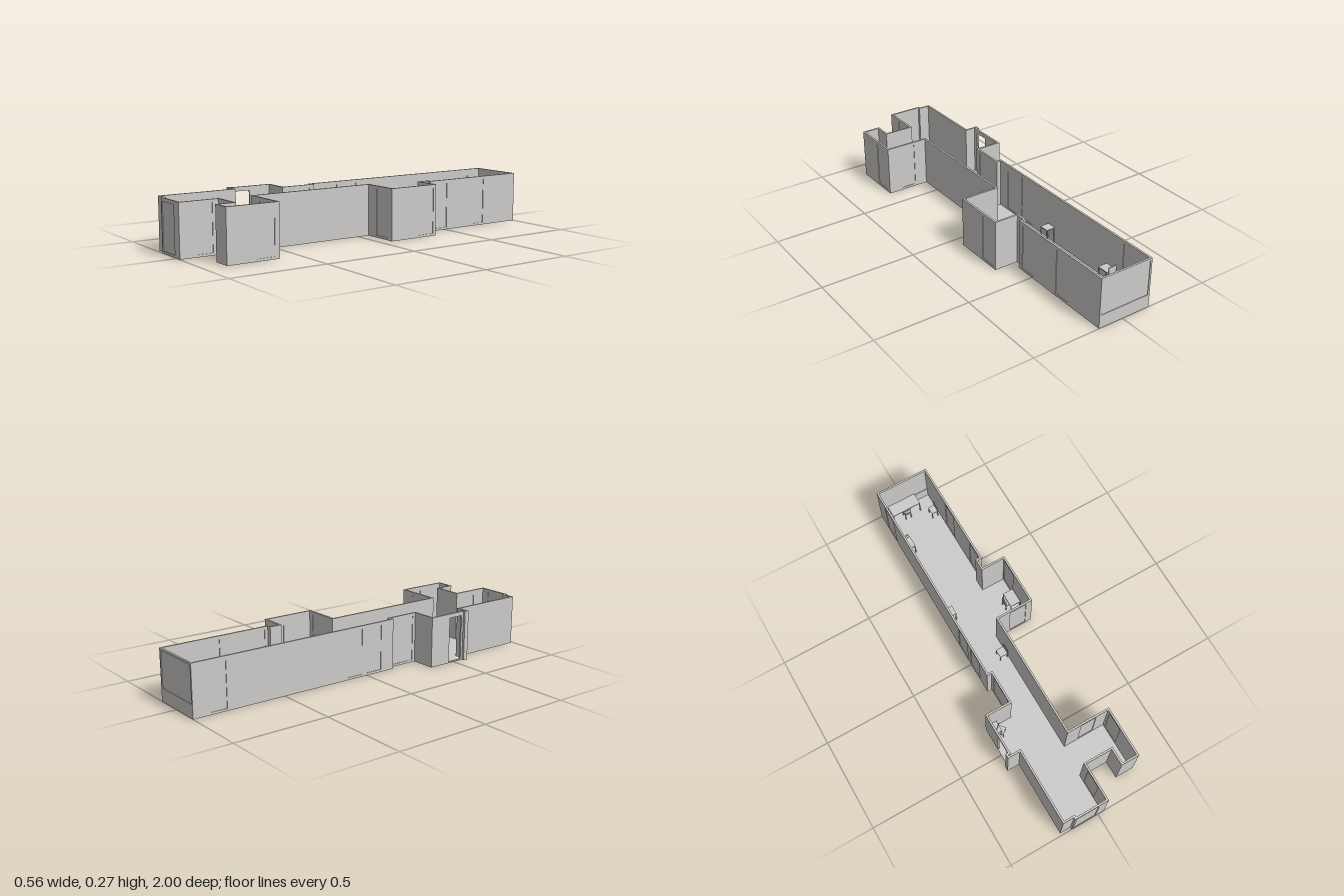
import * as THREE from 'three';

const H = 0.267, T = 0.01, FLOOR = 0.003;

// Floor plan corners [x, z], clockwise seen from above
const plan = [
  [-0.157, -1], [0.138, -1], [0.138, -0.395], [0.115, -0.395], [0.115, -0.347], [0.243, -0.347],
  [0.243, -0.063], [0.045, -0.063], [0.045, 0.612], [0.277, 0.612], [0.277, 0.888], [0.177, 0.888],
  [0.177, 0.797], [0.034, 0.797], [0.034, 1], [-0.153, 1], [-0.153, 0.987], [-0.212, 0.987],
  [-0.212, 0.585], [-0.278, 0.585], [-0.278, 0.56], [-0.265, 0.56], [-0.265, 0.342], [-0.132, 0.342],
  [-0.132, 0.172], [-0.157, 0.172],
];

// Openings by wall number: [from, to, sill, head, open] along the wall's own axis
const openings = {
  0: [[-0.147, 0.128, 0.07, 0.257]],
  1: [[-0.77, -0.683], [-0.51, -0.422]],
  5: [[-0.33, -0.238]],
  6: [[0.114, 0.207]],
  8: [[0.115, 0.2]],
  9: [[0.638, 0.733]],
  13: [[0.828, 0.918]],
  14: [[-0.148, -0.018]],
  21: [[0.465, 0.548, 0.006, 0.245, true]],
  23: [[0.19, 0.325]],
  25: [[-0.91, -0.82], [-0.12, -0.03], [0.003, 0.093]],
};

export function createModel() {
  const grey = new THREE.MeshStandardMaterial({ color: 0xcccbc9 });
  grey.name = 'pale grey';
  const model = new THREE.Group();
  model.name = 'floorPlan';

  const group = (name, parent = model) => {
    const g = new THREE.Group();
    g.name = name;
    parent.add(g);
    return g;
  };
  const box = (parent, name, w, h, d, x, y, z) => {
    const m = new THREE.Mesh(new THREE.BoxGeometry(w, h, d), grey);
    m.name = name;
    m.position.set(x, y, z);
    parent.add(m);
    return m;
  };
  const rect = (shape, x0, y0, x1, y1) => {
    shape.moveTo(x0, y0);
    shape.lineTo(x1, y0);
    shape.lineTo(x1, y1);
    shape.lineTo(x0, y1);
    shape.closePath();
    return shape;
  };

  // Floor slab
  const outline = new THREE.Shape(plan.map(([x, z]) => new THREE.Vector2(x, -z)));
  const floor = new THREE.Mesh(new THREE.ExtrudeGeometry(outline, { depth: FLOOR, bevelEnabled: false }), grey);
  floor.name = 'floor';
  floor.rotation.x = -Math.PI / 2;
  model.add(floor);

  // Walls run inside the outline, with recessed doors and windows
  const n = plan.length;
  const edge = (i) => {
    const [a, b] = [plan[(i + n) % n], plan[(i + 1 + n) % n]];
    return [Math.sign(b[0] - a[0]), Math.sign(b[1] - a[1])];
  };
  const reflex = (i) => {
    const [p, q] = [edge(i - 1), edge(i)];
    return p[0] * q[1] - p[1] * q[0] < 0;
  };
  const walls = group('walls');
  plan.forEach((a, i) => {
    const b = plan[(i + 1) % n], [dx, dz] = edge(i);
    const length = Math.hypot(b[0] - a[0], b[1] - a[1]);
    const wall = group('wall' + i, walls);
    wall.position.set(a[0], 0, a[1]);
    wall.rotation.y = Math.atan2(-dz, dx);

    const shape = rect(new THREE.Shape(), reflex(i) ? -T : 0, 0, length + (reflex(i + 1) ? T : 0), H);
    for (const [from, to, sill = 0.012, head = 0.25, open = false] of openings[i] ?? []) {
      const start = dx ? a[0] : a[1];
      const [s0, s1] = [Math.abs(from - start), Math.abs(to - start)].sort((p, q) => p - q);
      shape.holes.push(rect(new THREE.Path(), s0, sill, s1, head));
      if (!open) box(wall, 'panel', s1 - s0, head - sill, 0.004, (s0 + s1) / 2, (sill + head) / 2, T / 2);
    }
    const mesh = new THREE.Mesh(new THREE.ExtrudeGeometry(shape, { depth: T, bevelEnabled: false }), grey);
    mesh.name = 'wallPanel';
    wall.add(mesh);
  });

  // Four legs under a top of the given size
  const legs = (parent, w, d, h, t) => {
    for (const sx of [-1, 1]) for (const sz of [-1, 1])
      box(parent, 'leg', t, h, t, sx * (w - t) / 2, h / 2, sz * (d - t) / 2);
  };
  const table = (x, z, w, d, turn = 0, h = 0.085) => {
    const g = group('table');
    g.position.set(x, FLOOR, z);
    g.rotation.y = turn;
    box(g, 'tableTop', w, 0.006, d, 0, h - 0.003, 0);
    legs(g, w, d, h - 0.006, 0.005);
  };
  // Chair with its back on the local -z side
  const chair = (x, z, w, d, turn = 0) => {
    const g = group('chair');
    g.position.set(x, FLOOR, z);
    g.rotation.y = turn;
    box(g, 'seat', w, 0.005, d, 0, 0.05, 0);
    box(g, 'backrest', w, 0.03, 0.004, 0, 0.08, -d / 2 + 0.002);
    for (const s of [-1, 1]) box(g, 'backPost', 0.004, 0.03, 0.004, s * (w / 2 - 0.002), 0.06, -d / 2 + 0.002);
    legs(g, w, d, 0.05, 0.004);
  };

  // Furniture
  table(-0.034, -0.957, 0.164, 0.066);
  chair(-0.034, -0.93, 0.036, 0.036, Math.PI);
  chair(0.098, -0.87, 0.045, 0.036, -Math.PI / 2);
  table(-0.122, -0.742, 0.052, 0.064);
  box(model, 'tableBack', 0.045, 0.11, 0.005, -0.125, 0.058, -0.777);
  table(-0.122, -0.284, 0.05, 0.052);
  table(0.199, -0.19, 0.058, 0.083);
  chair(0.172, -0.192, 0.04, 0.036, Math.PI / 2);
  chair(0.008, 0.036, 0.046, 0.045, -Math.PI / 2);
  table(-0.232, 0.378, 0.046, 0.064);
  chair(-0.207, 0.396, 0.04, 0.04, Math.PI / 4);

  return model;
}
